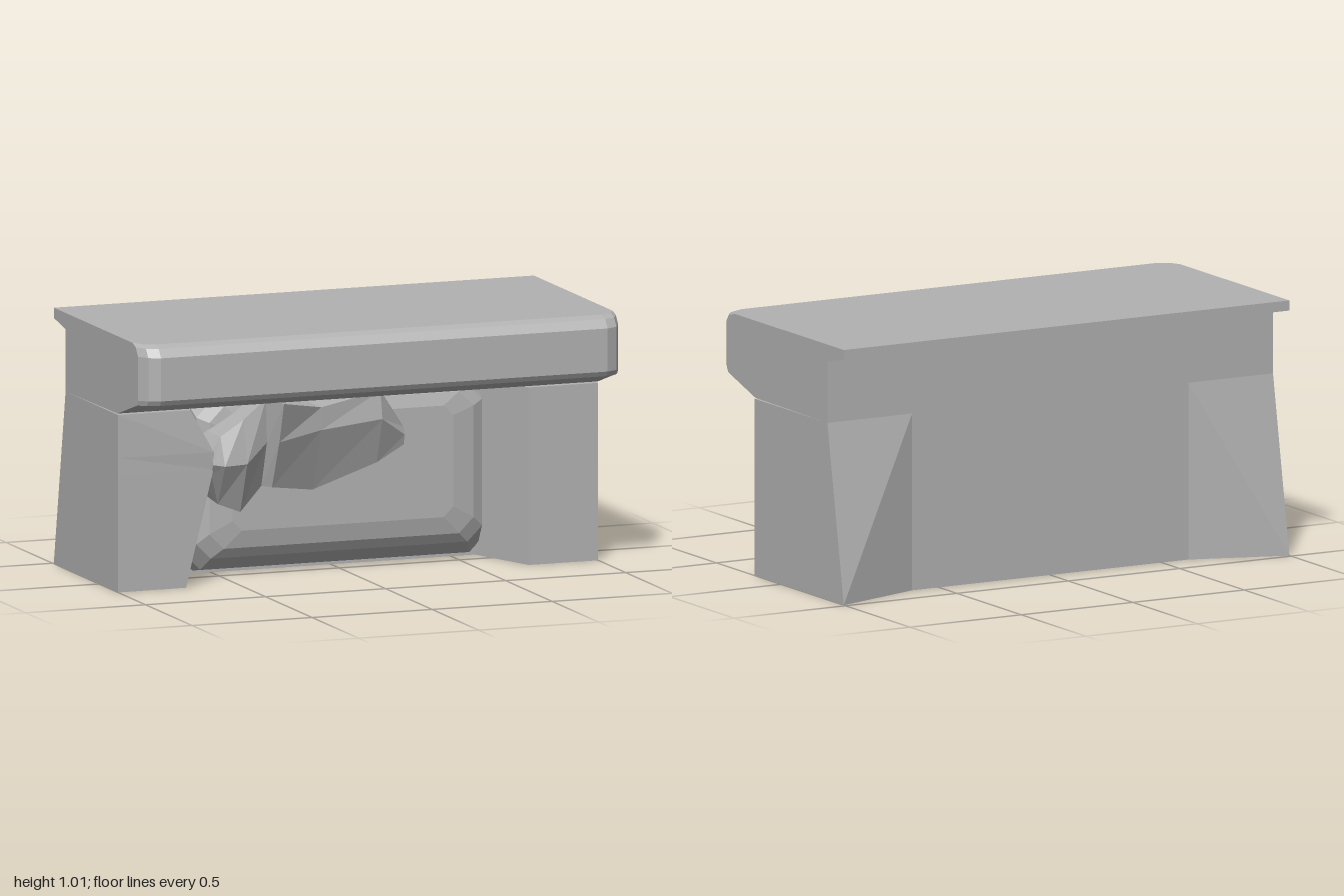
import * as THREE from 'three';

const stone = new THREE.MeshStandardMaterial({ color: 0xb2b2b2 });
stone.name = 'grey stone';

// Faceted mesh from a triangle list of [x, y, z]; turned outward by its signed volume
function solid(name, tris) {
  const v = tris.map((t) => t.map((p) => new THREE.Vector3(...p)));
  const volume = v.reduce((s, [a, b, c]) => s + a.dot(b.clone().cross(c)), 0);
  const points = v.flatMap(([a, b, c]) => (volume < 0 ? [a, c, b] : [a, b, c]));
  const geometry = new THREE.BufferGeometry().setFromPoints(points);
  geometry.computeVertexNormals();
  const mesh = new THREE.Mesh(geometry, stone);
  mesh.name = name;
  return mesh;
}

// Skin over matching rings, capped at both ends; u and v are the axes of the ring plane
function loft(name, rings, u, v) {
  const tris = [];
  const n = rings[0].length;
  for (let r = 0; r + 1 < rings.length; r++) {
    for (let i = 0; i < n; i++) {
      const j = (i + 1) % n;
      const [a, b, c, d] = [rings[r][i], rings[r][j], rings[r + 1][j], rings[r + 1][i]];
      tris.push([a, b, c], [a, c, d]);
    }
  }
  // Caps follow the ring's own direction, so they agree with the sides
  [rings[0], rings[rings.length - 1]].forEach((ring, end) => {
    const flat = ring.map((p) => new THREE.Vector2(p[u], p[v]));
    const ccw = THREE.ShapeUtils.area(flat) > 0;
    const order = ring.map((_, i) => (ccw ? i : n - 1 - i));
    for (const f of THREE.ShapeUtils.triangulateShape(order.map((i) => flat[i]), [])) {
      const [a, b, c] = f.map((i) => ring[order[i]]);
      tris.push((end === 1) === ccw ? [a, b, c] : [a, c, b]);
    }
  });
  return solid(name, tris);
}

export function createModel() {
  const model = new THREE.Group();

  // Overhanging top with its back lip; front corners are rounded off in plan
  const topSection = (x, front, low) => [
    [-0.36, 0.7], [0.2, 0.705], [front - 0.012, low], [front, low + 0.02],
    [front, 0.965], [front - 0.025, 0.998], [front - 0.06, 1.01],
    [-0.487, 1.01], [-0.487, 0.97], [-0.36, 0.945],
  ].map(([z, y]) => [x, y, z]);
  model.add(loft('top', [
    topSection(-1, 0.42, 0.77), topSection(-0.975, 0.465, 0.775), topSection(-0.93, 0.487, 0.775),
    topSection(0.93, 0.487, 0.775), topSection(0.975, 0.465, 0.775), topSection(1, 0.42, 0.77),
  ], 2, 1));

  // Base with two legs; the left-hand image leg pinches in toward the drape
  const basePlan = (y, legX, legZ) => [
    [1, 0.205], [0.71, 0.205], [0.6, -0.09], [-0.6, -0.09],
    [legX, legZ], [-1, 0.205], [-1, -0.36], [1, -0.36],
  ].map(([x, z]) => [x, y, z]);
  model.add(loft('base', [
    basePlan(0, -0.715, 0.2), basePlan(0.46, -0.605, 0.21),
    basePlan(0.53, -0.605, 0.215), basePlan(0.7, -0.7, 0.205),
  ], 0, 2));

  // Flared foot at each back corner
  for (const s of [-1, 1]) {
    const a = [s, 0.7, -0.36], b = [s * 0.62, 0.7, -0.36], c = [s * 0.62, 0, -0.36];
    const d = [s, 0, -0.487], e = [s, 0, -0.36];
    model.add(solid('backFoot', [[a, b, d], [b, c, d], [a, d, e], [c, e, d], [a, e, b], [b, e, c]]));
  }

  // Cushioned panel between the legs, as octagons stepping forward
  const panelRing = ([z, w, y0, y1, cut]) => [
    [-w + cut, y0], [w - cut, y0], [w, y0 + cut], [w, y1 - cut],
    [w - cut, y1], [-w + cut, y1], [-w, y1 - cut], [-w, y0 + cut],
  ].map(([x, y]) => [x, y, z]);
  model.add(loft('panel', [
    [-0.12, 0.61, 0.005, 0.7, 0.02], [-0.05, 0.6, 0.02, 0.7, 0.04],
    [0, 0.595, 0.07, 0.69, 0.06], [0.025, 0.55, 0.11, 0.67, 0.06], [0.04, 0.46, 0.18, 0.62, 0.04],
  ].map(panelRing), 0, 1));

  // Knotted drape: x, then y and z of its lower edge, ridge and upper edge
  const drape = [
    [-0.61, 0.44, 0.2, 0.48, 0.222, 0.53, 0.2],
    [-0.56, 0.31, 0.14, 0.47, 0.22, 0.58, 0.17],
    [-0.46, 0.27, 0.125, 0.47, 0.2, 0.64, 0.16],
    [-0.355, 0.36, 0.08, 0.54, 0.14, 0.71, 0.13],
    [-0.33, 0.36, 0.13, 0.55, 0.21, 0.71, 0.26],
    [-0.14, 0.33, 0.075, 0.58, 0.17, 0.67, 0.17],
    [0.13, 0.42, 0.07, 0.6, 0.13, 0.71, 0.11],
    [0.25, 0.48, 0.05, 0.52, 0.06, 0.55, 0.045],
  ];
  model.add(loft('drape', drape.map(([x, y0, z0, y1, z1, y2, z2]) => [
    [x, y0 + 0.02, -0.05], [x, y0, z0], [x, y1, z1], [x, y2, z2], [x, y2, -0.05],
  ]), 2, 1));

  return model;
}
